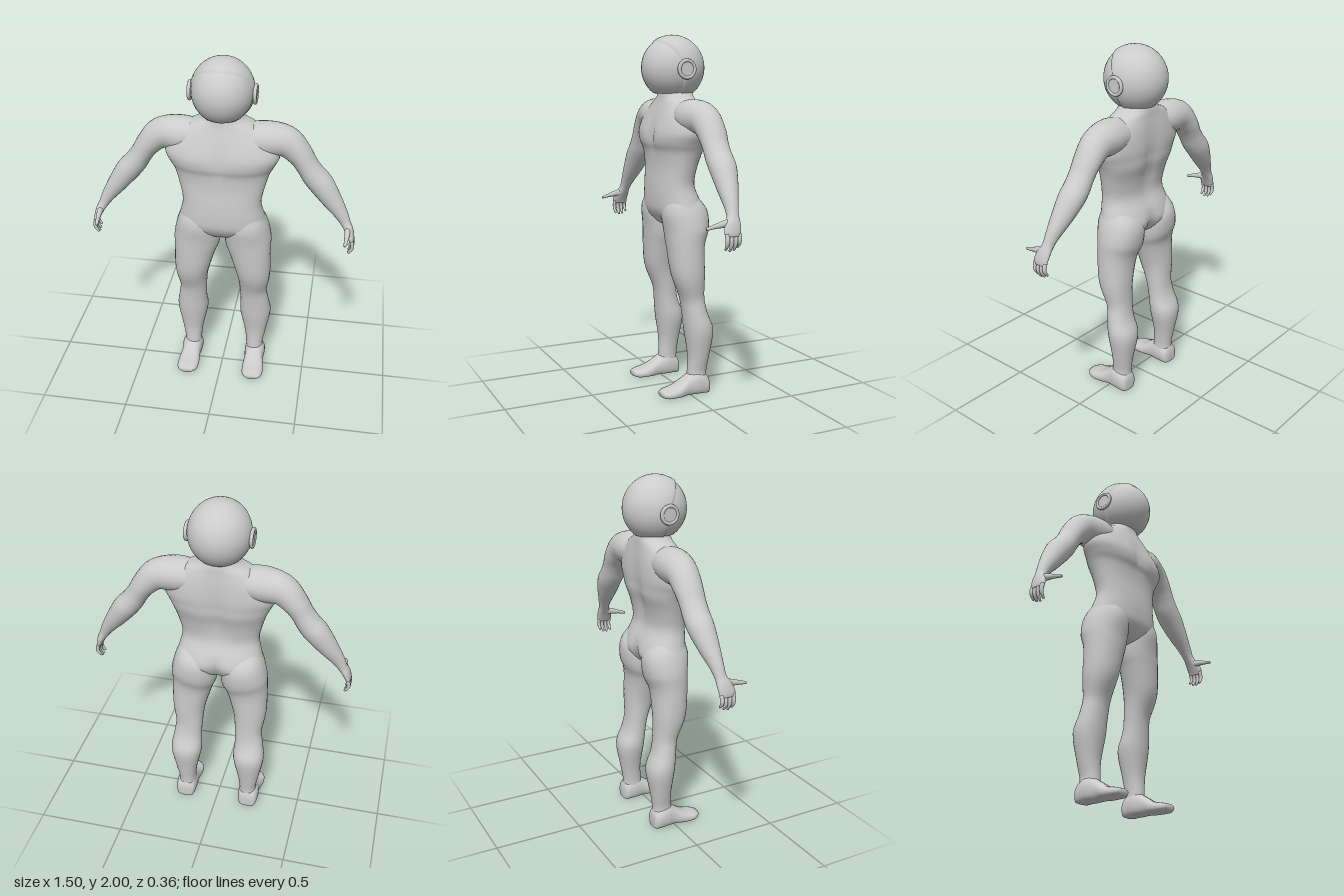
import * as THREE from 'three';
import { mergeVertices } from 'three/addons/utils/BufferGeometryUtils.js';

const material = new THREE.MeshStandardMaterial({ color: 0xcccccc, side: THREE.DoubleSide });

// Smooth skin through sections [x, y, halfWidth, zFront, zBack]; the path lies in the xy plane.
function loft(sections, { segs = 28, steps = 4, square = 1 } = {}) {
  const path = new THREE.CatmullRomCurve3(sections.map(s => new THREE.Vector3(s[0], s[1], 0)), false, 'catmullrom');
  const size = new THREE.CatmullRomCurve3(sections.map(s => new THREE.Vector3(s[2], s[3], s[4])), false, 'catmullrom');
  const rows = (sections.length - 1) * steps;
  const pos = [], idx = [];
  const bend = v => Math.sign(v) * Math.abs(v) ** square;
  for (let i = 0; i <= rows; i++) {
    const t = i / rows;
    const p = path.getPoint(t), d = size.getPoint(t);
    const tan = path.getPoint(Math.min(1, t + 0.01)).sub(path.getPoint(Math.max(0, t - 0.01))).normalize();
    const mid = (d.y + d.z) / 2, depth = (d.y - d.z) / 2;
    for (let j = 0; j < segs; j++) {
      const a = (j / segs) * Math.PI * 2;
      const w = d.x * bend(Math.cos(a));
      pos.push(p.x - tan.y * w, p.y + tan.x * w, mid + depth * bend(Math.sin(a)));
    }
  }
  for (let i = 0; i < rows; i++) for (let j = 0; j < segs; j++) {
    const k = (j + 1) % segs;
    const a = i * segs + j, b = i * segs + k, c = a + segs, d = b + segs;
    idx.push(a, b, c, b, d, c);
  }
  // end caps
  for (const end of [0, 1]) {
    const s = sections[end ? sections.length - 1 : 0];
    const centre = pos.length / 3, base = end * rows * segs;
    pos.push(s[0], s[1], (s[3] + s[4]) / 2);
    for (let j = 0; j < segs; j++) {
      const a = base + j, b = base + (j + 1) % segs;
      idx.push(centre, end ? a : b, end ? b : a);
    }
  }
  const g = new THREE.BufferGeometry();
  g.setAttribute('position', new THREE.Float32BufferAttribute(pos, 3));
  g.setIndex(idx);
  g.computeVertexNormals();
  return g;
}

// Move every vertex by a rule.
function deform(g, rule) {
  const p = g.attributes.position, v = new THREE.Vector3();
  for (let i = 0; i < p.count; i++) {
    rule(v.fromBufferAttribute(p, i));
    p.setXYZ(i, v.x, v.y, v.z);
  }
  g.computeVertexNormals();
  return g;
}

function mirrored(g) {
  const m = g.clone();
  m.scale(-1, 1, 1);
  const a = m.index.array;
  for (let i = 0; i < a.length; i += 3) [a[i], a[i + 1]] = [a[i + 1], a[i]];
  m.computeVertexNormals();
  return m;
}

const bump = (v, centre, width) => Math.exp(-(((v - centre) / width) ** 2));

function torsoGeometry() {
  const g = loft([
    [0, 1.74, 0.09, 0.07, -0.09], [0, 1.67, 0.115, 0.075, -0.11], [0, 1.625, 0.2, 0.085, -0.115],
    [0, 1.55, 0.29, 0.112, -0.125], [0, 1.47, 0.315, 0.138, -0.13], [0, 1.41, 0.29, 0.138, -0.126],
    [0, 1.36, 0.265, 0.122, -0.12], [0, 1.28, 0.24, 0.118, -0.095], [0, 1.18, 0.22, 0.127, -0.085],
    [0, 1.09, 0.238, 0.13, -0.12], [0, 1.02, 0.255, 0.12, -0.135], [0, 0.96, 0.22, 0.075, -0.1],
    [0, 0.93, 0.1, 0.02, -0.05],
  ], { segs: 48, square: 0.88 });
  return deform(g, v => {
    if (v.z > 0) {
      // breastbone groove
      v.z -= 0.018 * bump(v.x, 0, 0.03) * bump(v.y, 1.46, 0.08);
    } else {
      // spine groove and seat cleft
      v.z += 0.022 * bump(v.x, 0, 0.05) * bump(v.y, 1.38, 0.18);
      v.z += 0.03 * bump(v.x, 0, 0.035) * bump(v.y, 1.0, 0.07);
    }
  });
}

const legGeometry = () => loft([
  [0.12, 1.12, 0.09, 0.09, -0.07], [0.133, 1.03, 0.122, 0.118, -0.136], [0.147, 0.92, 0.134, 0.105, -0.135],
  [0.163, 0.83, 0.119, 0.098, -0.104], [0.183, 0.68, 0.098, 0.083, -0.1], [0.181, 0.55, 0.08, 0.035, -0.1],
  [0.188, 0.46, 0.084, 0.02, -0.115], [0.193, 0.36, 0.092, 0.01, -0.15], [0.195, 0.22, 0.065, -0.008, -0.13],
  [0.192, 0.12, 0.05, -0.005, -0.115], [0.196, 0.05, 0.058, 0, -0.118],
], { square: 0.92 });

// Lofted lengthwise: path value is -z, depth values are heights.
function footGeometry() {
  const g = loft([
    [0.198, 0.125, 0.03, 0.06, -0.01], [0.198, 0.11, 0.055, 0.1, -0.02], [0.197, 0.05, 0.062, 0.13, -0.02],
    [0.197, -0.01, 0.056, 0.1, -0.015], [0.2, -0.075, 0.064, 0.06, -0.015], [0.202, -0.135, 0.06, 0.044, -0.01],
    [0.202, -0.168, 0.035, 0.034, 0.005],
  ], { square: 0.85 });
  g.rotateX(-Math.PI / 2);
  return deform(g, v => { v.y = Math.max(v.y, 0); });
}

const armGeometry = () => loft([
  [0.1, 1.55, 0.08, 0.07, -0.1], [0.23, 1.553, 0.097, 0.085, -0.115], [0.34, 1.54, 0.087, 0.06, -0.11],
  [0.413, 1.475, 0.07, 0.05, -0.108], [0.457, 1.41, 0.062, 0.045, -0.1], [0.497, 1.35, 0.066, 0.045, -0.1],
  [0.543, 1.297, 0.068, 0.045, -0.098], [0.603, 1.215, 0.056, 0.04, -0.075], [0.66, 1.135, 0.039, 0.033, -0.045],
  [0.692, 1.08, 0.028, 0.034, -0.03], [0.712, 1.045, 0.024, 0.055, -0.03], [0.728, 1.005, 0.018, 0.068, -0.026],
  [0.734, 0.98, 0.012, 0.062, -0.022],
]);

function fingerGeometry(z, length) {
  const y = d => 0.995 - d * length;
  return loft([
    [0.731, y(0), 0.011, z + 0.012, z - 0.012], [0.739, y(0.4), 0.011, z + 0.011, z - 0.011],
    [0.735, y(0.7), 0.009, z + 0.01, z - 0.01], [0.718, y(1), 0.006, z + 0.006, z - 0.006],
  ], { segs: 10, steps: 3 });
}

const thumbGeometry = () => loft([
  [0.702, -0.0, 0.016, 1.075, 1.03], [0.706, -0.05, 0.016, 1.065, 1.025],
  [0.703, -0.1, 0.012, 1.048, 1.022], [0.698, -0.152, 0.008, 1.03, 1.014],
], { segs: 12, steps: 3 }).rotateX(-Math.PI / 2);

// Ball with a flat base
const ball = (radius) => deform(new THREE.SphereGeometry(radius, 32, 24), v => {
  v.x *= 0.95;
  v.y = Math.max(v.y, -0.142);
});

// Helmet shell: a ball opened at the front by a rim that varies around the face
function shellGeometry() {
  let g = new THREE.SphereGeometry(1, 48, 24, 0, Math.PI * 2, 0.02, Math.PI - 0.02);
  g.rotateX(Math.PI / 2);
  g.deleteAttribute('uv');
  g.deleteAttribute('normal');
  g = mergeVertices(g, 1e-5);
  return deform(g, v => {
    const around = Math.atan2(v.y, v.x), up = Math.sin(around);
    const rim = up > 0 ? 1.48 - 0.6 * up ** 1.5 : 1.48 - 0.1 * up;
    const from = Math.acos(THREE.MathUtils.clamp(v.z, -1, 1));
    const a = rim + (Math.PI - rim) * Math.max(0, from - 0.02) / (Math.PI - 0.02);
    const r = from < 0.03 ? 0.172 : 0.181;
    v.set(0.95 * r * Math.sin(a) * Math.cos(around), Math.max(r * Math.sin(a) * up, -0.145), r * Math.cos(a));
  });
}

export function createModel() {
  const model = new THREE.Group();
  const add = (name, g, parent = model) => {
    const mesh = new THREE.Mesh(g, material);
    mesh.name = name;
    parent.add(mesh);
    return mesh;
  };
  const addPair = (name, g) => {
    add('left' + name, g);
    add('right' + name, mirrored(g));
  };

  add('torso', torsoGeometry());
  addPair('Leg', legGeometry());
  addPair('Foot', footGeometry());
  addPair('Arm', armGeometry());
  addPair('Thumb', thumbGeometry());
  [[0.055, 0.08], [0.032, 0.088], [0.009, 0.084], [-0.013, 0.07]].forEach(([z, length], i) =>
    addPair('Finger' + (i + 1), fingerGeometry(z, length)));

  // helmet
  const helmet = new THREE.Group();
  helmet.name = 'helmet';
  helmet.position.y = 1.82;
  model.add(helmet);
  add('visor', ball(0.175), helmet);
  add('helmetShell', shellGeometry(), helmet);
  for (const side of [1, -1]) {
    const disc = add('earDisc', new THREE.CylinderGeometry(0.04, 0.045, 0.03, 24), helmet);
    disc.rotation.z = -side * Math.PI / 2;
    disc.position.set(side * 0.163, -0.01, -0.005);
    const ring = add('earRing', new THREE.TorusGeometry(0.046, 0.01, 10, 28), helmet);
    ring.rotation.y = Math.PI / 2;
    ring.position.set(side * 0.174, -0.01, -0.005);
  }
  return model;
}
